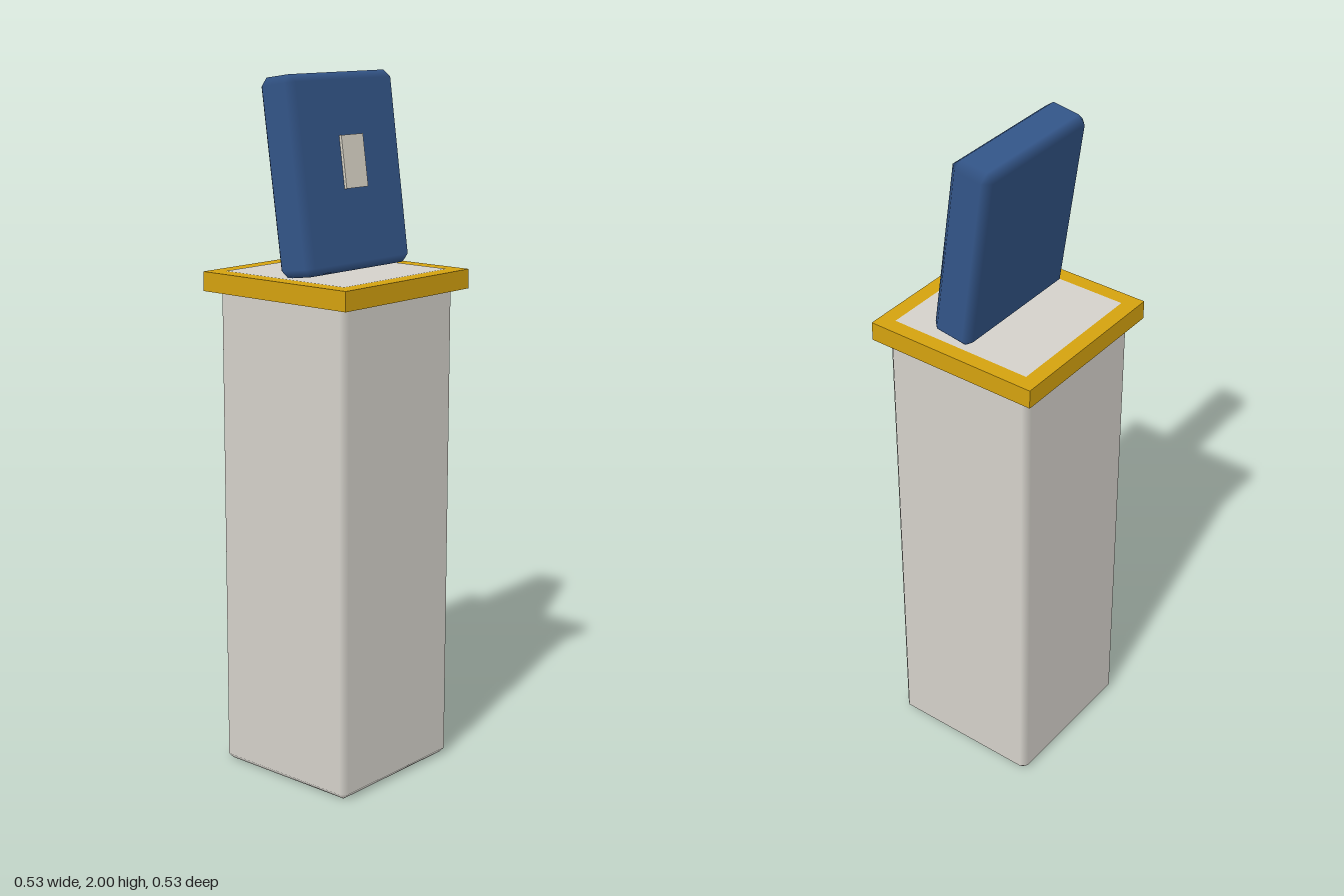
import * as THREE from 'three';
import { ConvexGeometry } from 'three/addons/geometries/ConvexGeometry.js';

// Box with single chamfers; each corner vertex keeps its face normal, so the chamfers shade softly
function chamferedBox(w, h, d, c) {
  const half = [w / 2, h / 2, d / 2];
  const points = [];
  for (const sx of [-1, 1]) for (const sy of [-1, 1]) for (const sz of [-1, 1]) {
    for (let axis = 0; axis < 3; axis++) {
      const p = [sx, sy, sz].map((s, i) => s * (half[i] - (i === axis ? 0 : c)));
      points.push(new THREE.Vector3(...p));
    }
  }
  const geometry = new ConvexGeometry(points);
  const pos = geometry.attributes.position;
  const normal = geometry.attributes.normal;
  for (let i = 0; i < pos.count; i++) {
    const p = [pos.getX(i), pos.getY(i), pos.getZ(i)];
    normal.setXYZ(i, ...p.map((v, k) => (Math.abs(v) > half[k] - c / 2 ? Math.sign(v) : 0)));
  }
  return geometry;
}

function addPart(parent, name, geometry, color, x, y, z) {
  const mesh = new THREE.Mesh(geometry, new THREE.MeshStandardMaterial({ color }));
  mesh.name = name;
  mesh.position.set(x, y, z);
  parent.add(mesh);
  return mesh;
}

export function createModel() {
  const model = new THREE.Group();
  model.name = 'pedestalTerminal';

  // Square post, its top face showing just above the collar
  const postHeight = 1.456;
  addPart(model, 'post', chamferedBox(0.47, postHeight, 0.47, 0.018), 0xd4d1ca, 0, postHeight / 2, 0);

  // Overhanging collar around the top of the post
  addPart(model, 'collar', new THREE.BoxGeometry(0.526, 0.055, 0.526), 0xd4a20f, 0, 1.4275, 0);

  // Leaning head with a small plate on its +x face
  const head = new THREE.Group();
  head.name = 'head';
  head.position.set(0, 1.727, 0);
  head.rotation.z = THREE.MathUtils.degToRad(8);
  model.add(head);
  addPart(head, 'panel', chamferedBox(0.126, 0.54, 0.434, 0.022), 0x335588, 0, 0, 0);
  addPart(head, 'plate', new THREE.BoxGeometry(0.016, 0.145, 0.09), 0xd9d4c7, 0.063, 0.026, 0);

  return model;
}
